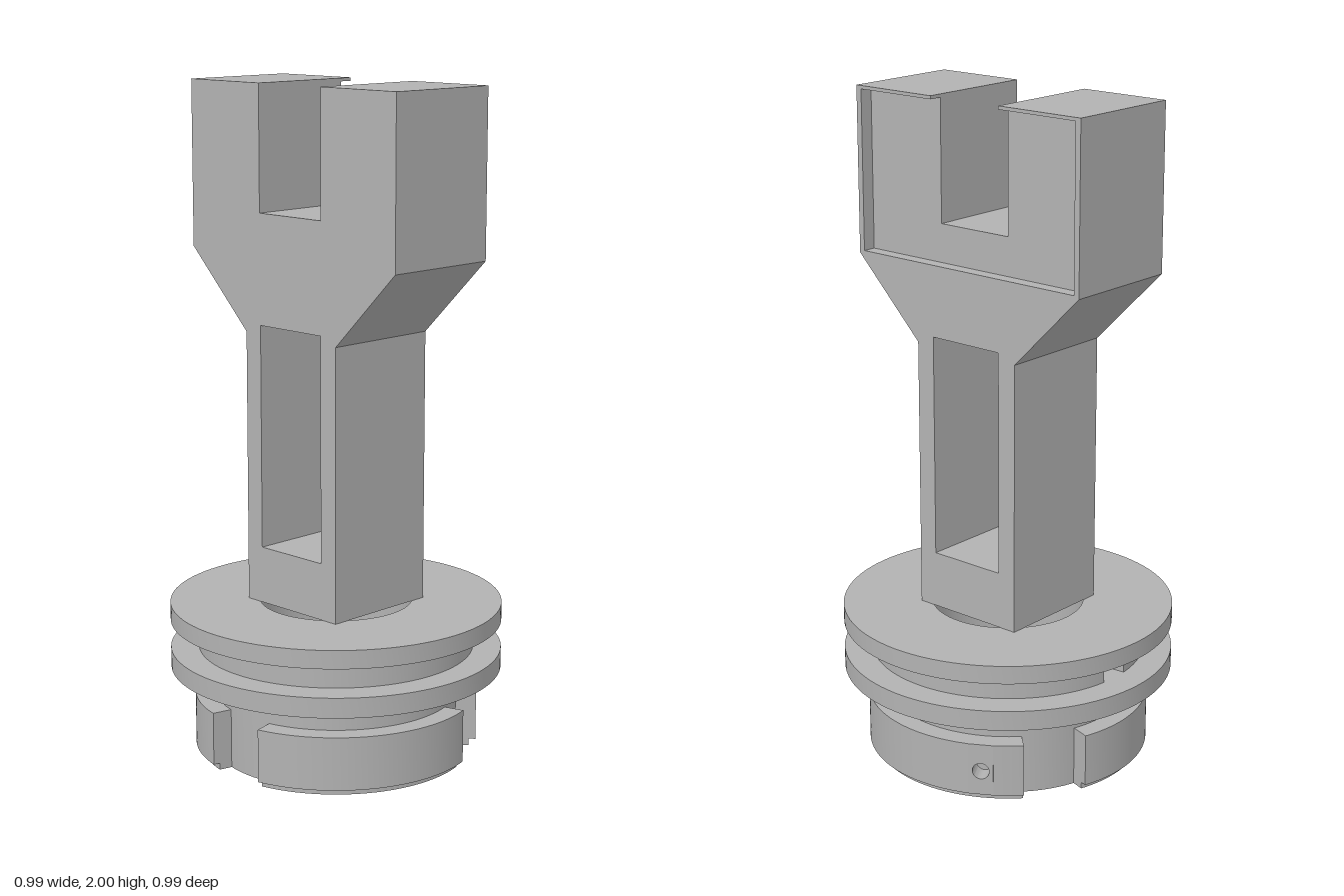
import * as THREE from 'three';
import { toCreasedNormals } from 'three/addons/utils/BufferGeometryUtils.js';

const rad = THREE.MathUtils.degToRad;

export function createModel() {
  const model = new THREE.Group();
  const grey = new THREE.MeshStandardMaterial({ color: 0xb2b2b2 });
  grey.name = 'machined grey';

  const add = (name, geometry, parent = model) => {
    const mesh = new THREE.Mesh(toCreasedNormals(geometry, 0.5), grey);
    mesh.name = name;
    parent.add(mesh);
    return mesh;
  };

  // Ring sector between two angles in degrees, measured from +z towards +x
  const sector = (name, rIn, rOut, y0, y1, from, to, parent) => {
    const a = rad(from - 90), b = rad(to - 90);
    const shape = new THREE.Shape();
    shape.absarc(0, 0, rOut, a, b, false);
    shape.absarc(0, 0, rIn, b, a, true);
    const geometry = new THREE.ExtrudeGeometry(shape, {
      depth: y1 - y0, bevelEnabled: false, curveSegments: Math.ceil((to - from) / 4) + 1,
    });
    geometry.rotateX(-Math.PI / 2).translate(0, y0, 0);
    return add(name, geometry, parent);
  };

  // Flanged core with through bore and shallow counterbore
  const profile = [
    [0.228, 0.044], [0.297, 0.044], [0.297, 0], [0.365, 0], [0.365, 0.265],
    [0.497, 0.265], [0.497, 0.325], [0.35, 0.325], [0.35, 0.41],
    [0.497, 0.41], [0.497, 0.465], [0.228, 0.465], [0.228, 0.044],
  ].map(([x, y]) => new THREE.Vector2(x, y));
  add('flangedCore', new THREE.LatheGeometry(profile, 96));

  // Groove wall between the flanges, with a key slot at the back
  sector('grooveWall', 0.34, 0.413, 0.325, 0.41, 186.5, 533.5);

  // Three locking lugs separated by gaps
  const lugs = new THREE.Group();
  lugs.name = 'lockingLugs';
  model.add(lugs);
  const lugSpans = [[43, 115], [125, 137], [163, 257], [283, 377]];
  for (const [from, to] of lugSpans) sector('lug', 0.355, 0.425, 0.02, 0.18, from, to, lugs);
  for (const from of [43, 163, 283]) sector('lugLip', 0.355, 0.405, 0, 0.02, from, from + 94, lugs);

  // Lug section drilled with a small pin hole
  const half = 0.425 * Math.sin(rad(5));
  const panel = new THREE.Shape([
    new THREE.Vector2(-half, 0.02), new THREE.Vector2(half, 0.02),
    new THREE.Vector2(half, 0.18), new THREE.Vector2(-half, 0.18),
  ]);
  const pinHole = new THREE.Path();
  pinHole.absarc(0, 0.095, 0.025, 0, Math.PI * 2, true);
  panel.holes.push(pinHole);
  const drilled = new THREE.ExtrudeGeometry(panel, { depth: 0.06, bevelEnabled: false, curveSegments: 16 });
  drilled.translate(0, 0, 0.424 - 0.06).rotateY(rad(120));
  add('drilledLugSection', drilled, lugs);

  // Forked post, extruded along x from a half outline mirrored in z
  const forkSlab = (name, halfOutline, x0, x1) => {
    const mirrored = halfOutline.map(([z, y]) => [-z, y]).reverse();
    const shape = new THREE.Shape([...halfOutline, ...mirrored].map(([z, y]) => new THREE.Vector2(z, y)));
    shape.holes.push(new THREE.Path(
      [[-0.124, 0.635], [-0.124, 1.303], [0.124, 1.303], [0.124, 0.635]].map(([z, y]) => new THREE.Vector2(z, y))
    ));
    const geometry = new THREE.ExtrudeGeometry(shape, { depth: x1 - x0, bevelEnabled: false });
    geometry.rotateY(Math.PI / 2).translate(x0, 0, 0);
    add(name, geometry);
  };
  const outer = [[0.184, 0.465], [0.184, 1.278], [0.413, 1.508], [0.413, 2], [0.125, 2]];
  forkSlab('forkedPost', [...outer, [0.125, 1.63]], -0.186, 0.145);
  // Raised rim that leaves a shallow pocket on the fork's side
  forkSlab('pocketRim', [...outer, [0.125, 1.99], [0.395, 1.99], [0.395, 1.516]], 0.145, 0.186);

  return model;
}
